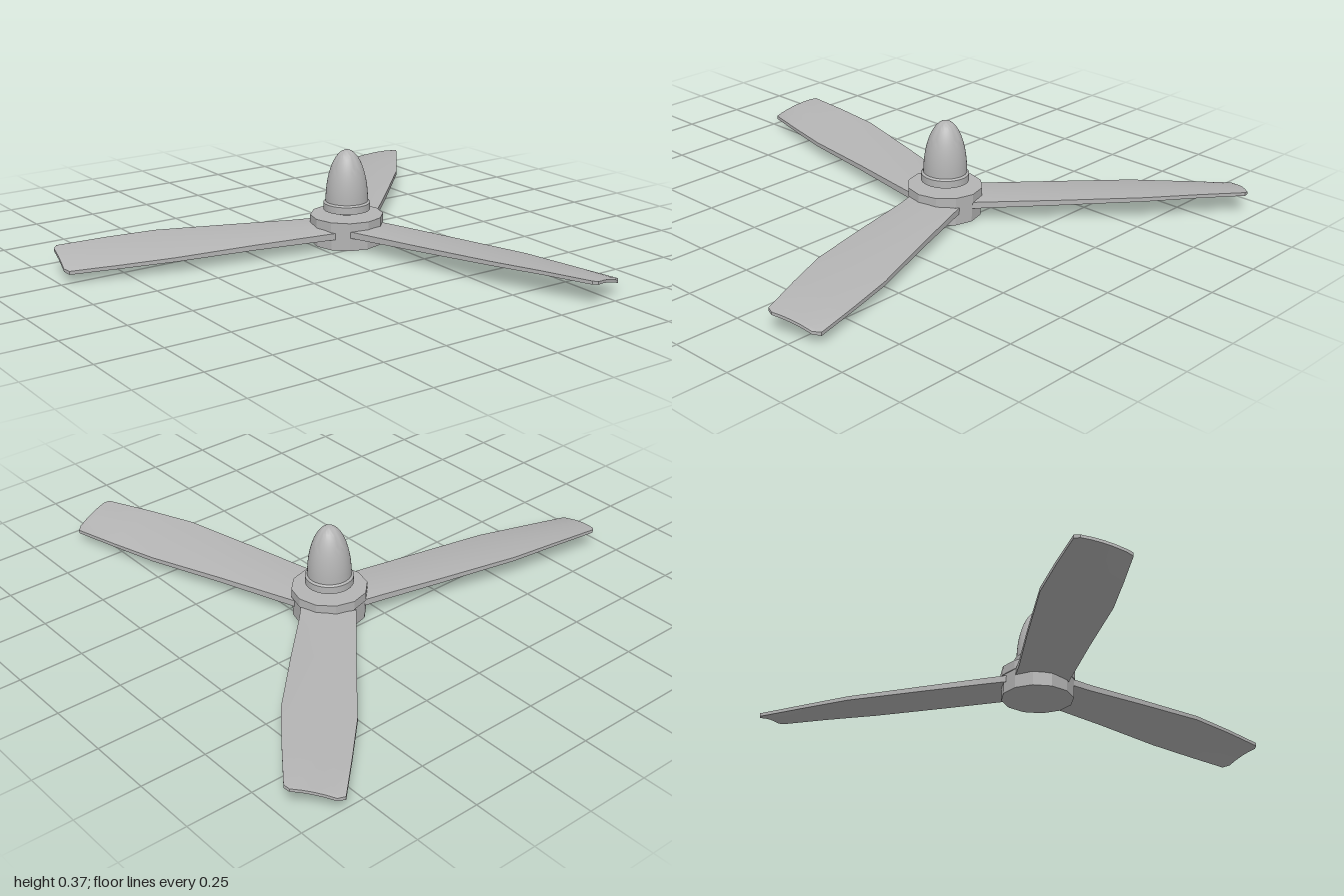
import * as THREE from 'three';
import { toCreasedNormals } from 'three/addons/utils/BufferGeometryUtils.js';

// Blade stations: distance from axis, chord edges, edge heights, thickness
const STATIONS = [
  [0.06, 0.1, -0.1, 0.063, 0.055, 0.026],
  [0.17, 0.102, -0.104, 0.065, 0.055, 0.024],
  [0.42, 0.117, -0.111, 0.074, 0.054, 0.02],
  [0.73, 0.131, -0.123, 0.085, 0.05, 0.016],
  [0.93, 0.115, -0.111, 0.086, 0.045, 0.014],
  [1.118, 0.097, -0.097, 0.083, 0.041, 0.013],
  [1.132, 0.078, -0.07, 0.079, 0.045, 0.011],
];

function bladeGeometry() {
  const steps = 5, n = steps * 2;
  const pos = [], idx = [];
  for (const [u, wHi, wLo, yHi, yLo, t] of STATIONS) {
    // upper surface from low edge to high edge, then back along the underside
    for (let j = 0; j < n; j++) {
      const top = j < steps;
      const s = (top ? j : n - 1 - j) / (steps - 1);
      const camber = 0.006 * 4 * s * (1 - s);
      pos.push(u, yLo + (yHi - yLo) * s + camber + (top ? t : -t) / 2, wLo + (wHi - wLo) * s);
    }
  }
  const last = (STATIONS.length - 1) * n;
  for (let i = 0; i < last; i += n) {
    for (let j = 0; j < n; j++) {
      const a = i + j, b = i + (j + 1) % n;
      idx.push(a, b, b + n, a, b + n, a + n);
    }
  }
  // root and tip caps
  for (let j = 0; j < steps - 1; j++) {
    const a = j, b = j + 1, c = n - 2 - j, d = n - 1 - j;
    idx.push(a, c, b, a, d, c);
    idx.push(last + a, last + b, last + c, last + a, last + c, last + d);
  }
  const geo = new THREE.BufferGeometry();
  geo.setAttribute('position', new THREE.Float32BufferAttribute(pos, 3));
  geo.setIndex(idx);
  return toCreasedNormals(geo, 0.6);
}

export function createModel() {
  const model = new THREE.Group();
  model.name = 'propeller';
  const grey = new THREE.MeshStandardMaterial({ color: 0xb4b4b4 });
  grey.name = 'plainGrey';

  const rotor = new THREE.Group();
  rotor.name = 'rotor';
  rotor.position.set(0.145, 0, -0.105);
  model.add(rotor);

  const add = (name, geo) => {
    const mesh = new THREE.Mesh(geo, grey);
    mesh.name = name;
    rotor.add(mesh);
    return mesh;
  };
  const lathe = (points, sides, crease) => toCreasedNormals(
    new THREE.LatheGeometry(points.map(([r, y]) => new THREE.Vector2(r, y)), sides), crease);

  // Faceted hub
  add('hub', lathe([[0, 0], [0.138, 0], [0.138, 0.075], [0.142, 0.075], [0.142, 0.11], [0, 0.11]], 12, 0.3));

  // Short shaft between hub and nose cone
  const shaft = add('shaft', new THREE.CylinderGeometry(0.03, 0.03, 0.04, 24));
  shaft.position.y = 0.12;

  // Nose cone: stepped collar and bullet-shaped dome
  const cone = [[0, 0.13], [0.09, 0.13], [0.09, 0.158], [0.082, 0.164]];
  for (let i = 1; i <= 14; i++) {
    const a = (i / 14) * Math.PI / 2;
    cone.push([i === 14 ? 0 : 0.082 * Math.cos(a), 0.164 + 0.201 * Math.sin(a)]);
  }
  add('noseCone', lathe(cone, 40, 0.5));

  // Three twisted blades
  const blade = bladeGeometry();
  for (let k = 0; k < 3; k++) {
    add('blade' + (k + 1), blade).rotation.y = THREE.MathUtils.degToRad(47.95 + 120 * k);
  }
  return model;
}
